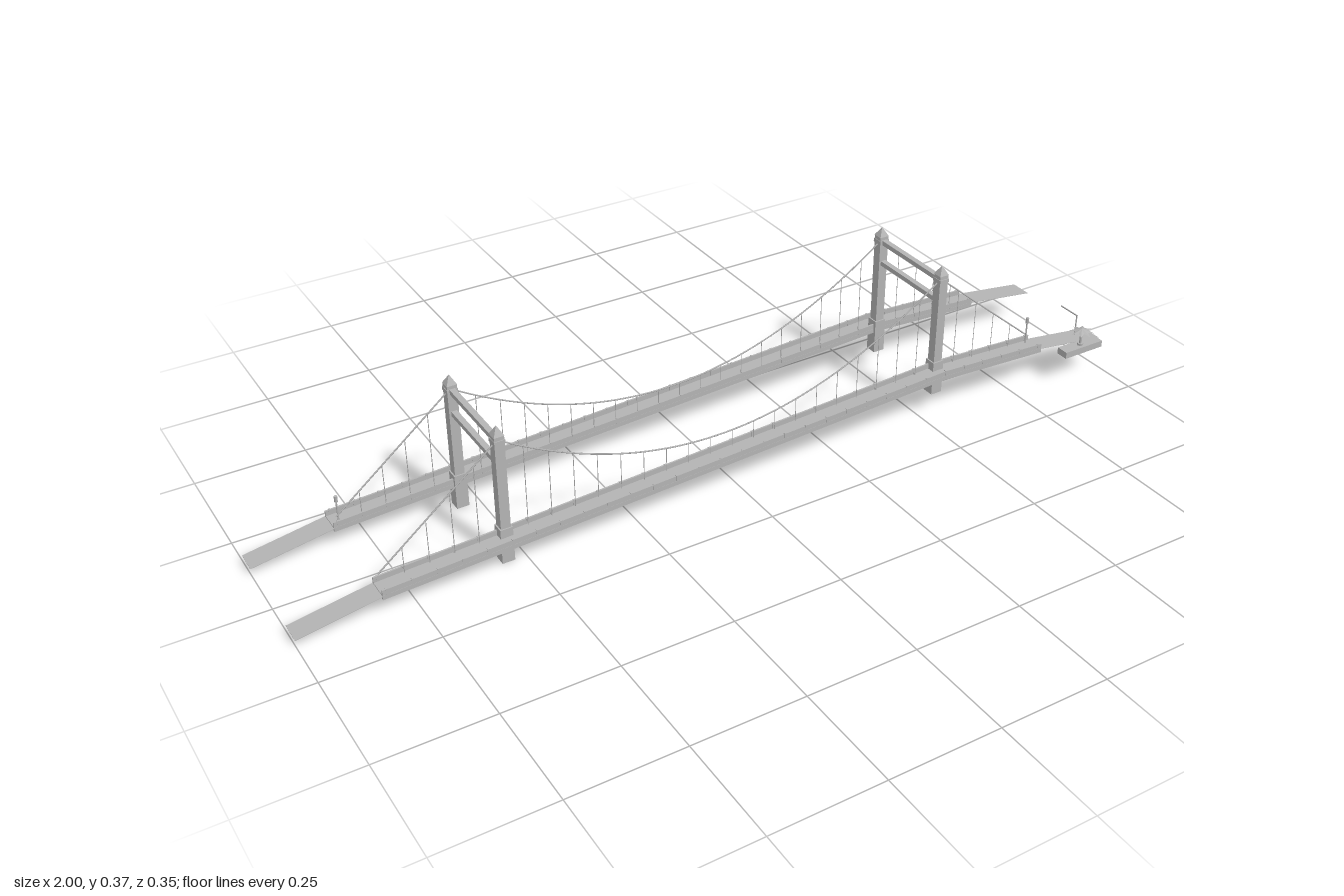
import * as THREE from 'three';

const concrete = new THREE.MeshStandardMaterial({ color: 0xb4b4b4 });
concrete.name = 'concrete grey';

const MID = -0.022;          // mirror plane between the two bridges
const OFF = 0.111;           // tower and cable distance from that plane
const DECK = 0.129;          // deck centre distance
const WIDTH = 0.052;         // deck width
const END = 0.82;            // half length of the deck
const TOWERS = [{ x: -0.54, y: 0 }, { x: 0.54, y: 0.053 }];
const ROAD = [[-END, 0.048], [0.54, 0.114], [END, 0.1]];

// Road surface height at x
function road(x) {
  const [a, b, c] = ROAD;
  const [p, q] = x < b[0] ? [a, b] : [b, c];
  return p[1] + (q[1] - p[1]) * (x - p[0]) / (q[0] - p[0]);
}

// Cable height: parabola in the middle, straight side spans
function cableY(x) {
  if (x < -0.54) return 0.287 + (x + 0.54) * (0.287 - 0.068) / 0.27;
  if (x > 0.54) return 0.34 - (x - 0.54) * (0.34 - 0.118) / 0.27;
  return 0.127 + 0.638 * (x + 0.039) ** 2;
}

function add(group, name, geometry, x = 0, y = 0, z = 0) {
  const mesh = new THREE.Mesh(geometry, concrete);
  mesh.name = name;
  mesh.position.set(x, y, z);
  group.add(mesh);
  return mesh;
}

function box(group, name, w, h, d, x, y, z) {
  return add(group, name, new THREE.BoxGeometry(w, h, d), x, y, z);
}

// Slab following a line of [x, y] points, between two height offsets
function strip(group, name, line, low, high, depth, z) {
  const pts = [
    ...line.map(([x, y]) => new THREE.Vector2(x, y + low)),
    ...[...line].reverse().map(([x, y]) => new THREE.Vector2(x, y + high)),
  ];
  const geo = new THREE.ExtrudeGeometry(new THREE.Shape(pts), { depth, bevelEnabled: false });
  return add(group, name, geo, 0, 0, z - depth / 2);
}

function rod(group, name, r, x, y0, y1, z, sides = 5) {
  return add(group, name, new THREE.CylinderGeometry(r, r, y1 - y0, sides), x, (y0 + y1) / 2, z);
}

function buildDeck(side) {
  const g = new THREE.Group();
  g.name = 'deck';
  const z = MID + side * DECK;
  strip(g, 'roadway', ROAD, -0.01, 0, WIDTH, z);
  // approach ramps at both ends
  strip(g, 'leftRamp', [[-1, 0.016], [-END, 0.046]], -0.001, 0, WIDTH, z);
  strip(g, 'rightRamp', [[END, 0.1], [1, 0.076]], -0.001, 0, WIDTH, z);
  for (const e of [-1, 1]) {
    const ez = z + e * (WIDTH / 2 - 0.0025);
    strip(g, 'parapet', ROAD, -0.002, 0.012, 0.004, ez);
    for (let i = 0; i <= 30; i++) {
      const x = -0.81 + i * 0.054;
      box(g, 'parapetPost', 0.005, 0.013, 0.005, x, road(x) + 0.0065, ez);
    }
  }
  return g;
}

function buildCables(side) {
  const g = new THREE.Group();
  g.name = 'cables';
  const z = MID + side * OFF;
  const span = (a, b, n) => {
    const pts = [];
    for (let i = 0; i <= n; i++) {
      const x = a + (b - a) * i / n;
      pts.push(new THREE.Vector3(x, cableY(x), z));
    }
    add(g, 'mainCable', new THREE.TubeGeometry(new THREE.CatmullRomCurve3(pts), n * 2, 0.0018, 5));
  };
  span(-0.81, -0.54, 2);
  span(-0.54, 0.54, 24);
  span(0.54, 0.81, 2);
  // vertical hangers
  for (let i = -14; i <= 14; i++) {
    const x = i * 0.054;
    if (Math.abs(i) !== 10) rod(g, 'hanger', 0.0009, x, road(x), cableY(x), z, 4);
  }
  return g;
}

function buildTower({ x, y }) {
  const g = new THREE.Group();
  g.name = 'tower';
  for (const side of [-1, 1]) {
    const z = MID + side * OFF;
    box(g, 'pierBase', 0.028, 0.135 - 0.053, 0.028, 0, 0.041, z);
    box(g, 'towerPost', 0.022, 0.22, 0.022, 0, 0.19, z);
    box(g, 'cableSaddle', 0.024, 0.009, 0.026, 0, 0.287, z);
    const cap = new THREE.ConeGeometry(0.0165, 0.021, 4).toNonIndexed();
    cap.computeVertexNormals();
    cap.rotateY(Math.PI / 4);
    add(g, 'towerCap', cap, 0, 0.3105, z);
  }
  // two cross beams joining the posts
  for (const h of [0.287, 0.234]) box(g, 'crossBeam', 0.013, 0.011, OFF * 2 - 0.018, 0, h, MID);
  g.position.set(x, y, 0);
  return g;
}

function buildLamp(x, z) {
  const g = new THREE.Group();
  g.name = 'lampPost';
  const y = road(x);
  rod(g, 'lampPole', 0.0018, x, y, y + 0.056, z, 6);
  rod(g, 'lampHead', 0.0038, x, y + 0.052, y + 0.066, z, 6);
  return g;
}

function buildTerrace() {
  const g = new THREE.Group();
  g.name = 'terrace';
  box(g, 'terraceSlab', 0.11, 0.016, 0.03, 0.93, 0.077, 0.146);
  // parasol with eight drooping points
  rod(g, 'parasolFoot', 0.007, 0.928, 0.085, 0.09, 0.148, 8);
  rod(g, 'parasolStem', 0.003, 0.928, 0.085, 0.124, 0.148, 8);
  const top = new THREE.ConeGeometry(0.029, 0.009, 16, 1);
  const p = top.attributes.position;
  for (let i = 0; i < p.count; i++) {
    const r = Math.hypot(p.getX(i), p.getZ(i));
    if (r < 0.01) continue;
    const k = Math.round(Math.atan2(p.getZ(i), p.getX(i)) / (Math.PI / 8));
    if (k % 2) {
      p.setX(i, p.getX(i) * 0.55);
      p.setZ(i, p.getZ(i) * 0.55);
      p.setY(i, p.getY(i) + 0.003);
    }
  }
  const flat = top.toNonIndexed();
  flat.computeVertexNormals();
  add(g, 'parasolTop', flat, 0.928, 0.124, 0.148);
  // street light reaching over the road
  rod(g, 'armPole', 0.0016, 0.951, 0.08, 0.136, 0.103, 6);
  box(g, 'armBeam', 0.0025, 0.0025, 0.057, 0.951, 0.135, 0.076);
  return g;
}

export function createModel() {
  const model = new THREE.Group();
  model.name = 'suspensionBridge';
  for (const side of [-1, 1]) model.add(buildDeck(side), buildCables(side));
  for (const t of TOWERS) model.add(buildTower(t));
  model.add(buildLamp(0.805, 0.093), buildLamp(-0.805, -0.137));
  model.add(buildTerrace());
  return model;
}
